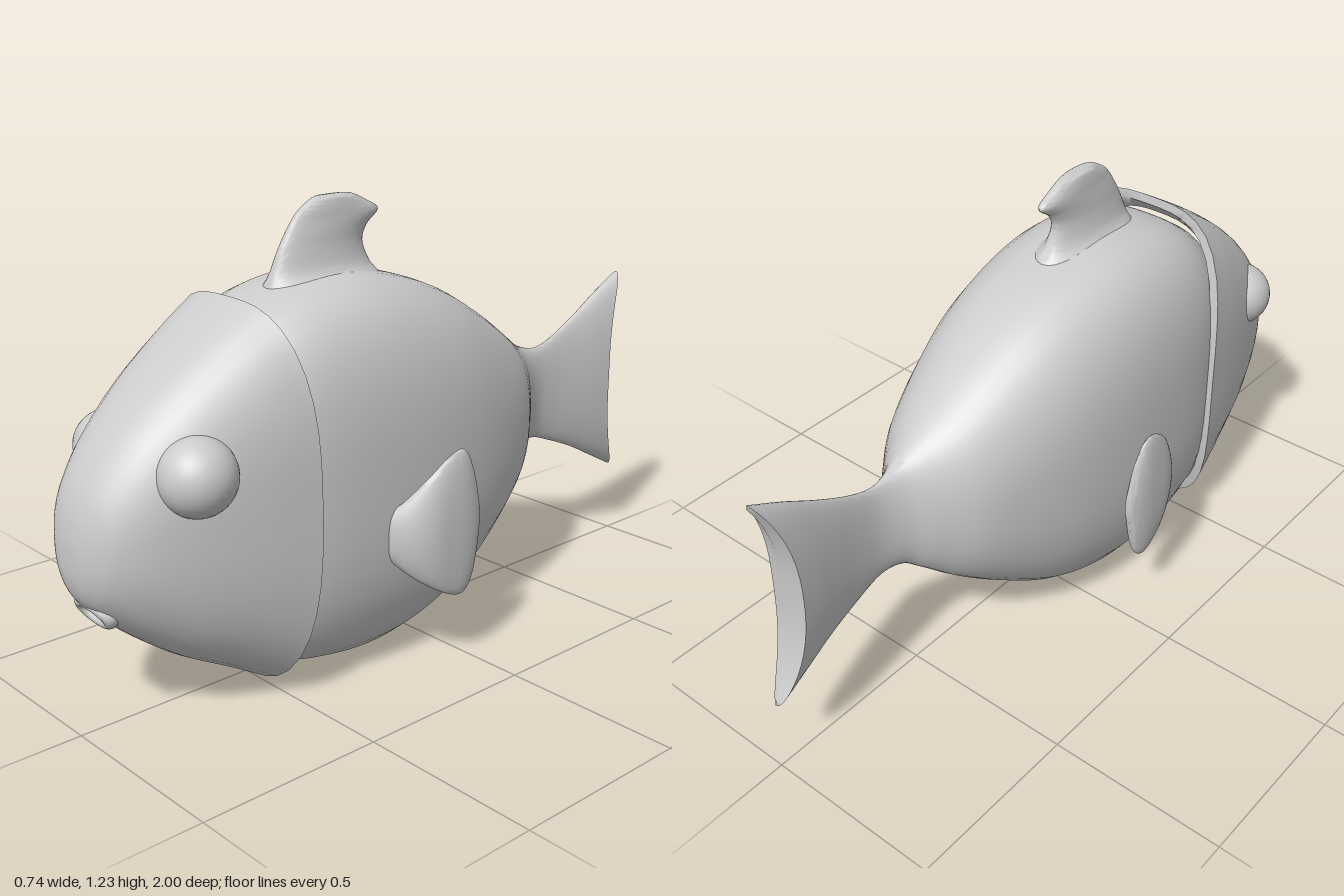
import * as THREE from 'three';
import { toCreasedNormals } from 'three/addons/utils/BufferGeometryUtils.js';

const material = new THREE.MeshStandardMaterial({ color: 0xcccccc });
const SEGMENTS = 48;

// Station: [z, bottom y, top y, half width, edge bend in z, roundness exponent, centre x]
function smooth(stations, steps = 5) {
  const pick = (a, b, c) => new THREE.CatmullRomCurve3(
    stations.map(s => new THREE.Vector3(s[a], s[b], s[c])), false, 'catmullrom');
  const outline = pick(0, 1, 2), width = pick(3, 4, 5);
  const centre = new THREE.CatmullRomCurve3(
    stations.map(s => new THREE.Vector3(s[6] ?? 0, 0, 0)), false, 'catmullrom');
  const count = (stations.length - 1) * steps;
  return Array.from({ length: count + 1 }, (_, i) => {
    const t = i / count, o = outline.getPoint(t), w = width.getPoint(t);
    return [o.x, o.y, o.z, Math.max(0, w.x), w.y, w.z, centre.getPoint(t).x];
  });
}

// Skin over superellipse rings, ordered from high z to low z
function loft(rings) {
  const positions = [], index = [];
  rings.forEach(([z, bottom, top, halfWidth, bend, n, cx = 0], i) => {
    for (let j = 0; j < SEGMENTS; j++) {
      const a = (j / SEGMENTS) * Math.PI * 2, c = Math.cos(a), s = Math.sin(a);
      const r = (Math.abs(c) ** n + Math.abs(s) ** n) ** (-1 / n);
      positions.push(
        cx + halfWidth * r * c,
        (bottom + top) / 2 + ((top - bottom) / 2) * r * s,
        z + bend * Math.abs(r * s) ** 2.5);
      if (i === rings.length - 1) continue;
      const k = i * SEGMENTS, next = (j + 1) % SEGMENTS;
      const p = k + j, q = k + next;
      index.push(p, p + SEGMENTS, q, q, p + SEGMENTS, q + SEGMENTS);
    }
  });
  const geometry = new THREE.BufferGeometry();
  geometry.setAttribute('position', new THREE.Float32BufferAttribute(positions, 3));
  geometry.setIndex(index);
  return toCreasedNormals(geometry, 0.9);
}

export function createModel() {
  const model = new THREE.Group();
  const add = (name, geometry) => {
    const mesh = new THREE.Mesh(geometry, material);
    mesh.name = name;
    model.add(mesh);
    return mesh;
  };

  // Body running into the forked tail
  const body = smooth([
    [0.58, 0.11, 0.92, 0.225, 0, 2.8],
    [0.48, 0.052, 0.985, 0.262, 0, 3],
    [0.36, 0.022, 1.025, 0.282, 0, 3],
    [0.2, 0.004, 1.04, 0.29, 0, 2.9],
    [0.04, 0.022, 1.015, 0.286, 0, 2.8],
    [-0.12, 0.078, 0.96, 0.266, 0, 2.7],
    [-0.27, 0.167, 0.877, 0.228, 0, 2.5],
    [-0.4, 0.262, 0.79, 0.176, 0, 2.3],
    [-0.49, 0.34, 0.73, 0.107, 0, 2.1],
    [-0.55, 0.388, 0.697, 0.055, 0, 2],
    [-0.62, 0.397, 0.682, 0.026, 0, 2],
    [-0.7, 0.37, 0.705, 0.024, 0, 2],
    [-0.78, 0.328, 0.755, 0.034, -0.02, 2],
    [-0.85, 0.278, 0.81, 0.045, -0.045, 2],
    [-0.915, 0.225, 0.862, 0.054, -0.08, 2],
  ]);
  body.unshift([0.58, 0.5, 0.5, 0, 0, 2]);
  body.push([-0.925, 0.23, 0.855, 0, -0.075, 2]);
  add('bodyAndTail', loft(body)).position.x = -0.01;

  // Head shell with a rim standing proud of the body
  const head = smooth([
    [1.0, 0.46, 0.46, 0, 0, 2],
    [0.996, 0.405, 0.52, 0.045, 0, 2.1],
    [0.98, 0.355, 0.59, 0.09, 0, 2.2],
    [0.945, 0.31, 0.66, 0.136, 0, 2.3],
    [0.87, 0.24, 0.753, 0.183, 0, 2.5],
    [0.75, 0.155, 0.857, 0.226, 0.005, 2.8],
    [0.6, 0.082, 0.955, 0.262, 0.02, 3],
    [0.46, 0.025, 1.017, 0.286, 0.06, 3.2],
  ]);
  head.push([0.457, 0.05, 0.992, 0.262, 0.06, 3.2], [0.52, 0.08, 0.95, 0.24, 0.04, 3]);
  add('head', loft(head)).position.x = -0.008;

  // Eyes
  add('leftEye', new THREE.SphereGeometry(0.098, 32, 20)).position.set(0.187, 0.66, 0.76);
  add('rightEye', new THREE.SphereGeometry(0.092, 32, 20)).position.set(-0.175, 0.65, 0.765);

  // Lips
  const lips = add('lips', new THREE.TorusGeometry(0.055, 0.02, 14, 40));
  lips.scale.set(1.05, 0.62, 1);
  lips.position.set(-0.005, 0.313, 0.932);
  lips.rotation.x = 0.55;

  // Dorsal fin, lofted lengthwise and turned upright
  const dorsal = smooth([
    [1.23, -0.22, -0.16, 0, 0, 2],
    [1.225, -0.245, -0.115, 0.02, 0, 2],
    [1.2, -0.288, -0.06, 0.027, 0, 2],
    [1.175, -0.313, -0.025, 0.03, 0, 2],
    [1.14, -0.337, -0.066, 0.034, 0, 2],
    [1.1, -0.36, -0.082, 0.039, 0, 2],
    [1.05, -0.382, -0.063, 0.054, 0, 2],
    [1.02, -0.395, -0.04, 0.085, 0, 2],
    [0.97, -0.42, 0, 0.15, 0, 2],
  ]);
  const dorsalFin = add('dorsalFin', loft(dorsal));
  dorsalFin.rotation.x = -Math.PI / 2;
  dorsalFin.position.x = -0.005;

  // Side fins: a short stem sweeping out and back into a flared paddle
  for (const [name, side] of [['leftSideFin', 1], ['rightSideFin', -1]]) {
    const fin = smooth([
      [0.25, 0.37, 0.43, 0, 0, 2, 0.255],
      [0.235, 0.33, 0.45, 0.03, 0, 2, 0.27],
      [0.2, 0.285, 0.49, 0.036, 0, 2, 0.305],
      [0.15, 0.245, 0.55, 0.028, 0, 2, 0.337],
      [0.09, 0.212, 0.598, 0.021, 0, 2, 0.35],
      [0.045, 0.207, 0.602, 0.019, 0, 2, 0.352],
      [0.01, 0.25, 0.54, 0.017, 0, 2, 0.348],
      [-0.012, 0.36, 0.45, 0.01, 0, 2, 0.345],
      [-0.015, 0.4, 0.41, 0, 0, 2, 0.345],
    ].map(s => s.with(6, s[6] * side)));
    add(name, loft(fin)).position.x = -0.003;
  }
  return model;
}
